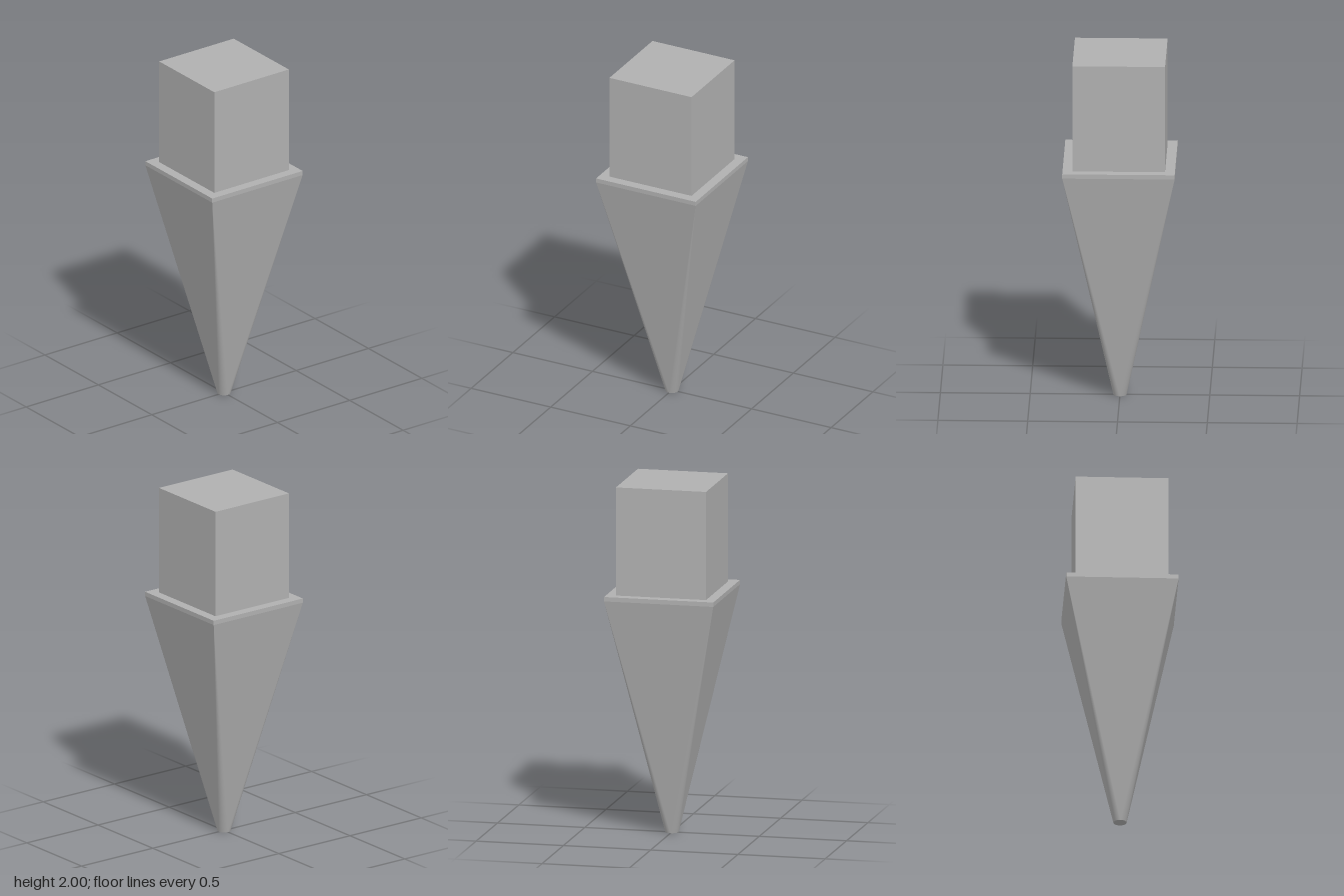
import * as THREE from 'three';

const TIP_RADIUS = 0.037, HALF = 0.313, RIM_Y = 1.36, TOP_Y = 1.385, ARC_STEPS = 10;

// Square-to-round taper: four flat triangles joined by four conical corners
function taperGeometry() {
  const positions = [], normals = [];
  const tip = a => new THREE.Vector3(Math.cos(a) * TIP_RADIUS, 0, Math.sin(a) * TIP_RADIUS);
  const corner = k => {
    const a = (k + 0.5) * Math.PI / 2, r = HALF * Math.SQRT2;
    return new THREE.Vector3(Math.cos(a) * r, RIM_Y, Math.sin(a) * r);
  };
  const normalAt = (a, c) => c.clone().sub(tip(a))
    .cross(new THREE.Vector3(-Math.sin(a), 0, Math.cos(a))).normalize();
  const push = (p, n) => { positions.push(p.x, p.y, p.z); normals.push(n.x, n.y, n.z); };

  for (let k = 0; k < 4; k++) {
    const start = k * Math.PI / 2, c = corner(k);
    // flat side
    const flat = normalAt(start, c);
    [tip(start), corner(k - 1), c].forEach(p => push(p, flat));
    // conical corner
    for (let i = 0; i < ARC_STEPS; i++) {
      const a = start + i / ARC_STEPS * Math.PI / 2;
      const b = start + (i + 1) / ARC_STEPS * Math.PI / 2;
      push(tip(a), normalAt(a, c));
      push(c, normalAt((a + b) / 2, c));
      push(tip(b), normalAt(b, c));
    }
  }
  const g = new THREE.BufferGeometry();
  g.setAttribute('position', new THREE.Float32BufferAttribute(positions, 3));
  g.setAttribute('normal', new THREE.Float32BufferAttribute(normals, 3));
  return g;
}

export function createModel() {
  const model = new THREE.Group();
  const grey = new THREE.MeshStandardMaterial({ color: 0xb0b0b0 });
  grey.name = 'grey';
  const add = (name, geometry, y) => {
    const mesh = new THREE.Mesh(geometry, grey);
    mesh.name = name;
    mesh.position.y = y;
    model.add(mesh);
    return mesh;
  };

  // Upper square block
  add('block', new THREE.BoxGeometry(0.516, 2 - TOP_Y, 0.516), (2 + TOP_Y) / 2);
  // Thin straight rim above the taper
  add('rim', new THREE.BoxGeometry(HALF * 2, TOP_Y - RIM_Y, HALF * 2), (TOP_Y + RIM_Y) / 2);
  // Tapered leg with its round foot
  add('taper', taperGeometry(), 0);
  add('foot', new THREE.CircleGeometry(TIP_RADIUS, ARC_STEPS * 4).rotateX(Math.PI / 2), 0);

  return model;
}
